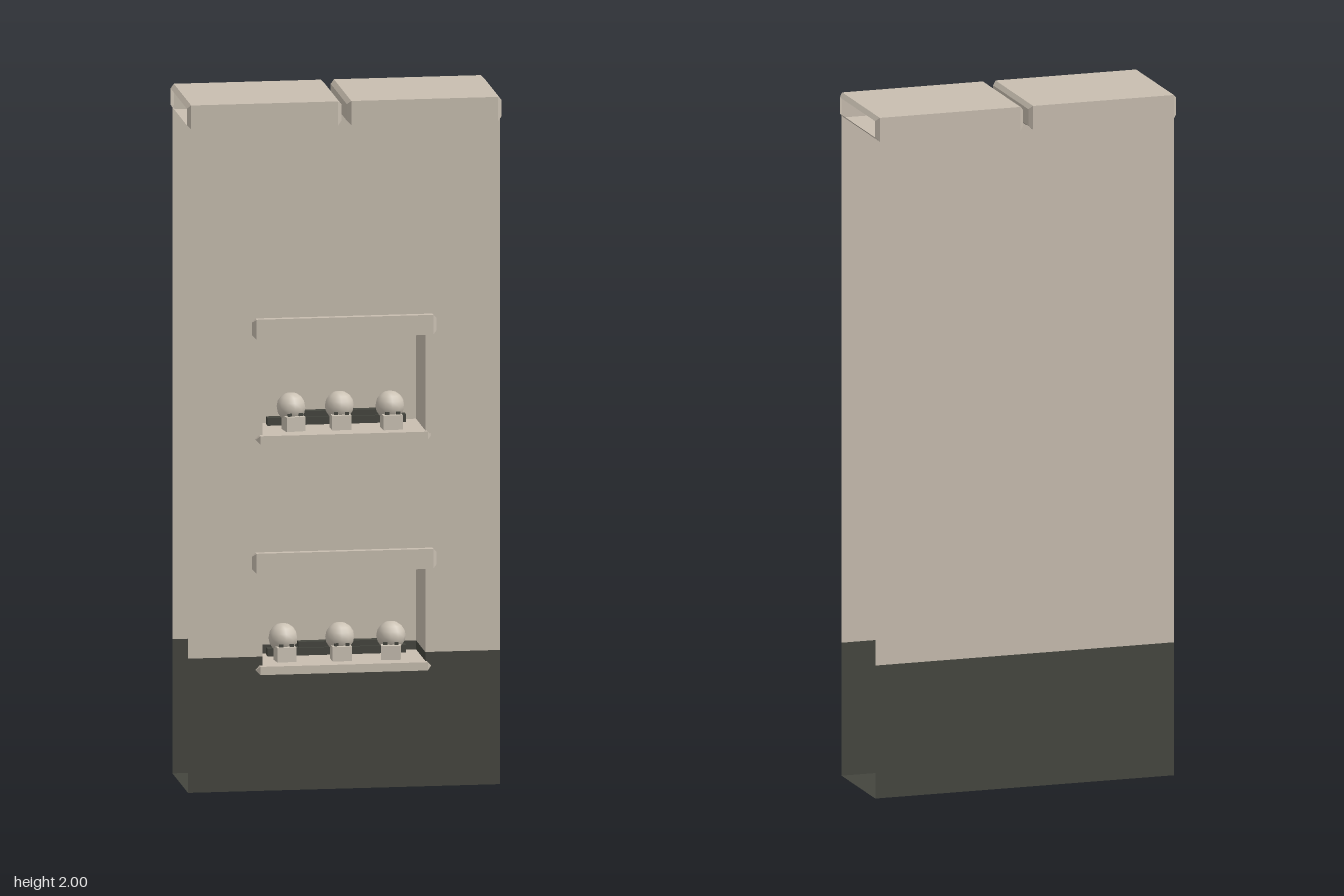
import * as THREE from 'three';

const mat = (name, color, side = THREE.FrontSide) => {
  const m = new THREE.MeshStandardMaterial({ color, side });
  m.name = name;
  return m;
};

export function createModel() {
  const root = new THREE.Group();
  root.name = 'nicheWall';
  const plaster = mat('plaster', 0xc8beb0, THREE.DoubleSide);
  const plinth = mat('dark plinth', 0x44453e, THREE.DoubleSide);
  const stone = mat('trim stone', 0xc8beb0, THREE.DoubleSide);
  const bone = mat('bone', 0xcbc2b4);

  const W = 0.45, D = 0.15, TOP = 1.94, TIDE = 0.39, N = 0.235;

  const add = (parent, name, geo, material, x = 0, y = 0, z = 0) => {
    const m = new THREE.Mesh(geo, material);
    m.name = name;
    m.position.set(x, y, z);
    parent.add(m);
    return m;
  };

  // Upright panel, split into plinth and plaster at the paint line
  function panel(name, width, y0, y1, x, z, rotY = 0) {
    const bands = [[y0, Math.min(y1, TIDE), plinth], [Math.max(y0, TIDE), y1, plaster]];
    for (const [a, b, m] of bands) {
      if (b <= a) continue;
      add(root, name, new THREE.PlaneGeometry(width, b - a), m, x, (a + b) / 2, z).rotation.y = rotY;
    }
  }

  // Chamfered bar along x; openSide (-1 or 1) leaves that end face out
  function bar(name, x0, x1, y0, y1, z0, z1, c, openSide = 0) {
    const h = (y1 - y0) / 2 - c, d = (z1 - z0) / 2 - c, len = x1 - x0;
    const s = new THREE.Shape();
    s.moveTo(-d, -h); s.lineTo(d, -h); s.lineTo(d, h); s.lineTo(-d, h); s.closePath();
    let g = new THREE.ExtrudeGeometry(s, {
      depth: len - 2 * c, bevelEnabled: true, bevelSegments: 1, bevelSize: c, bevelThickness: c,
    });
    g.translate(0, 0, -(len / 2 - c));
    if (openSide) {
      const open = new THREE.BufferGeometry();
      // the first two triangles are the starting end face
      open.setAttribute('position', new THREE.BufferAttribute(g.attributes.position.array.slice(18), 3));
      open.computeVertexNormals();
      g = open;
    }
    g.rotateY(openSide > 0 ? -Math.PI / 2 : Math.PI / 2);
    add(root, name, g, stone, (x0 + x1) / 2, (y0 + y1) / 2, (z0 + z1) / 2);
  }

  // Wall shell, open at both ends, with two inner dividers
  panel('backWall', 2 * W, 0, TOP, 0, -D, Math.PI);
  for (const s of [-1, 1]) {
    panel('frontSideWall', W - N, 0, TOP, s * (W + N) / 2, D);
    panel('innerDivider', 2 * D, 0, TOP, s * N, 0, Math.PI / 2);
  }
  for (const [a, b] of [[0, 0.35], [0.66, 1.02], [1.34, TOP]]) panel('frontCentreWall', 2 * N, a, b, 0, D);
  add(root, 'floor', new THREE.PlaneGeometry(2 * W, 2 * D), plinth).rotation.x = Math.PI / 2;

  // Two coping stones
  bar('copingRight', -0.454, -0.008, 1.93, 2, -0.17, 0.165, 0.011, -1);
  bar('copingLeft', 0.008, 0.454, 1.93, 2, -0.17, 0.165, 0.011, 1);

  // Skull: round cranium over a blocky jaw
  function skull(x, y, z, yaw) {
    const g = new THREE.Group();
    g.name = 'skull';
    add(g, 'cranium', new THREE.SphereGeometry(0.042, 12, 8), bone, 0, 0.063, 0);
    add(g, 'jaw', new THREE.BoxGeometry(0.056, 0.042, 0.05), bone, 0, 0.021, 0.025);
    for (const s of [-1, 1])
      add(g, 'eyeSocket', new THREE.BoxGeometry(0.012, 0.008, 0.004), plinth, s * 0.016, 0.047, 0.042);
    g.position.set(x, y, z);
    g.rotation.y = yaw;
    root.add(g);
  }

  // Niches: lintel, sill, back and three skulls
  const niches = [
    { sill: 0.34, lintel: 0.635, skulls: [[-0.163, 0.062, 0.1], [0, 0.07, 0], [0.147, 0.075, -0.15]] },
    { sill: 1.01, lintel: 1.315, skulls: [[-0.14, 0.065, 0.15], [0, 0.062, 0], [0.143, 0.08, 0.05]] },
  ];
  for (const { sill, lintel, skulls } of niches) {
    const base = sill + 0.024;
    bar('lintel', -0.265, 0.265, lintel, lintel + 0.058, -0.035, 0.17, 0.01);
    bar('sill', -0.255, 0.25, sill, base, -0.035, 0.17, 0.011);
    panel('nicheBack', 2 * N, sill + 0.01, lintel + 0.03, 0, -0.03);
    // low dark rubble behind the skulls
    add(root, 'rubble', new THREE.BoxGeometry(0.4, 0.022, 0.03), plinth, 0, base + 0.011, 0);
    add(root, 'rubbleTop', new THREE.BoxGeometry(0.24, 0.016, 0.025), plinth, 0.01, base + 0.03, -0.005);
    for (const [x, z, yaw] of skulls) skull(x, base, z, yaw);
  }
  return root;
}
